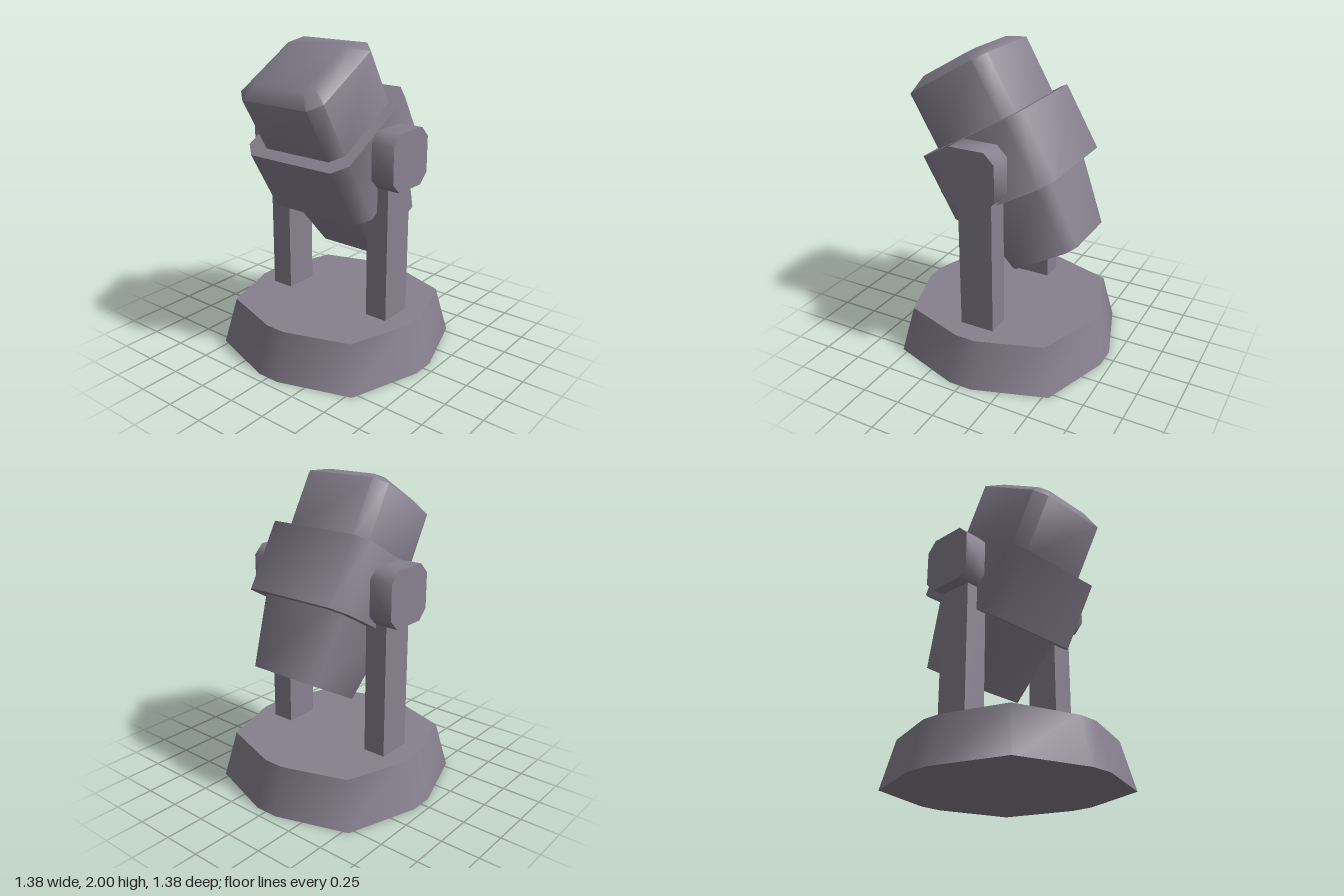
import * as THREE from 'three';
import { toCreasedNormals } from 'three/addons/utils/BufferGeometryUtils.js';

// Repeats a quarter outline of [x, z] points four times around the y axis.
function ring(quarter) {
  const points = [];
  let turn = quarter;
  for (let i = 0; i < 4; i++) {
    points.push(...turn);
    turn = turn.map(([x, z]) => [-z, x]);
  }
  return points;
}

// Square of half-width h whose flats end at f, giving cut corners.
const octagon = (h, f) => ring([[h, f], [f, h]]);

// Closed solid through cross-sections [y, outline], listed from the bottom up.
function loft(sections) {
  const n = sections[0][1].length;
  const positions = [], index = [];
  for (const [y, outline] of sections) {
    for (const [x, z] of outline) positions.push(x, y, z);
  }
  for (let s = 0; s < sections.length - 1; s++) {
    for (let i = 0; i < n; i++) {
      const a = s * n + i, b = s * n + (i + 1) % n;
      index.push(a, a + n, b, b, a + n, b + n);
    }
  }
  const top = (sections.length - 1) * n;
  for (let i = 1; i < n - 1; i++) {
    index.push(0, i, i + 1);
    index.push(top, top + i + 1, top + i);
  }
  const geometry = new THREE.BufferGeometry();
  geometry.setAttribute('position', new THREE.Float32BufferAttribute(positions, 3));
  geometry.setIndex(index);
  return toCreasedNormals(geometry, 1.1);
}

export function createModel() {
  const model = new THREE.Group();
  model.name = 'swivelMount';
  const grey = new THREE.MeshStandardMaterial({ color: 0x87818f });
  grey.name = 'purpleGrey';

  function add(parent, name, geometry) {
    const mesh = new THREE.Mesh(geometry, grey);
    mesh.name = name;
    parent.add(mesh);
    return mesh;
  }

  // Twelve-sided tapered foot
  add(model, 'base', loft([
    [0, ring([[0.69, 0.077], [0.537, 0.537], [0.077, 0.69]])],
    [0.307, ring([[0.613, 0.068], [0.476, 0.476], [0.068, 0.613]])],
  ]));

  // Posts and pivot blocks at front and back
  for (const [side, s] of [['front', 1], ['back', -1]]) {
    const post = add(model, side + 'Post', new THREE.BoxGeometry(0.226, 0.92, 0.15));
    post.position.set(0, 0.75, s * 0.395);
    const pivot = add(model, side + 'Pivot', loft([
      [-0.09, octagon(0.177, 0.112)],
      [0.09, octagon(0.177, 0.112)],
    ]));
    pivot.rotation.x = Math.PI / 2;
    pivot.position.set(0, 1.34, s * 0.458);
  }

  // Tilted head
  const head = new THREE.Group();
  head.name = 'head';
  head.position.set(-0.005, 1.325, 0);
  head.rotation.z = Math.PI / 6;
  model.add(head);

  add(head, 'collar', loft([
    [-0.22, octagon(0.393, 0.31)],
    [0.22, octagon(0.393, 0.31)],
  ]));
  add(head, 'lowerBarrel', loft([
    [-0.663, octagon(0.252, 0.195)],
    [-0.2, octagon(0.317, 0.247)],
  ]));
  add(head, 'upperBarrel', loft([
    [0.2, octagon(0.315, 0.243)],
    [0.595, octagon(0.315, 0.243)],
    [0.652, octagon(0.225, 0.175)],
  ]));

  return model;
}
